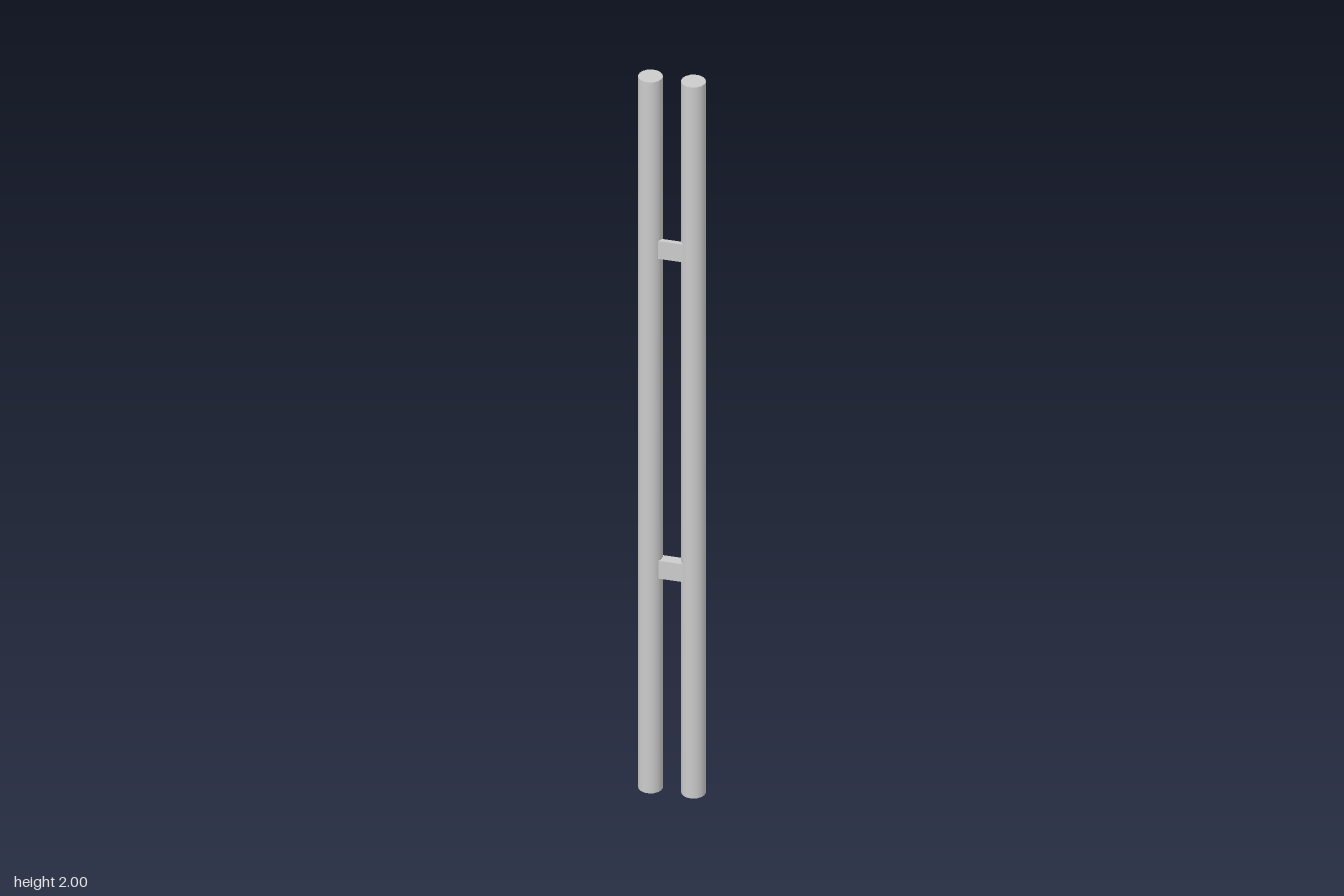
import * as THREE from 'three';

export function createModel() {
  const group = new THREE.Group();
  const material = new THREE.MeshStandardMaterial({ color: 0xcccccc });
  const add = (name, geometry, x, y, z, turn = 0) => {
    const mesh = new THREE.Mesh(geometry, material);
    mesh.name = name;
    mesh.position.set(x, y, z);
    mesh.rotation.y = turn;
    group.add(mesh);
  };

  // Two full-height round bars
  const bar = new THREE.CylinderGeometry(0.03, 0.03, 2, 16);
  add('frontBar', bar, 0.024, 1, 0.046, Math.PI / 16);
  add('backBar', bar, -0.026, 1, -0.047, Math.PI / 16);

  // Slanted brackets joining the bars; the lower one is wider
  const turn = 0.45;
  add('lowerBracket', new THREE.BoxGeometry(0.028, 0.05, 0.08), -0.005, 0.625, 0.003, turn);
  add('upperBracket', new THREE.BoxGeometry(0.012, 0.05, 0.08), -0.013, 1.525, 0.007, turn);

  return group;
}
